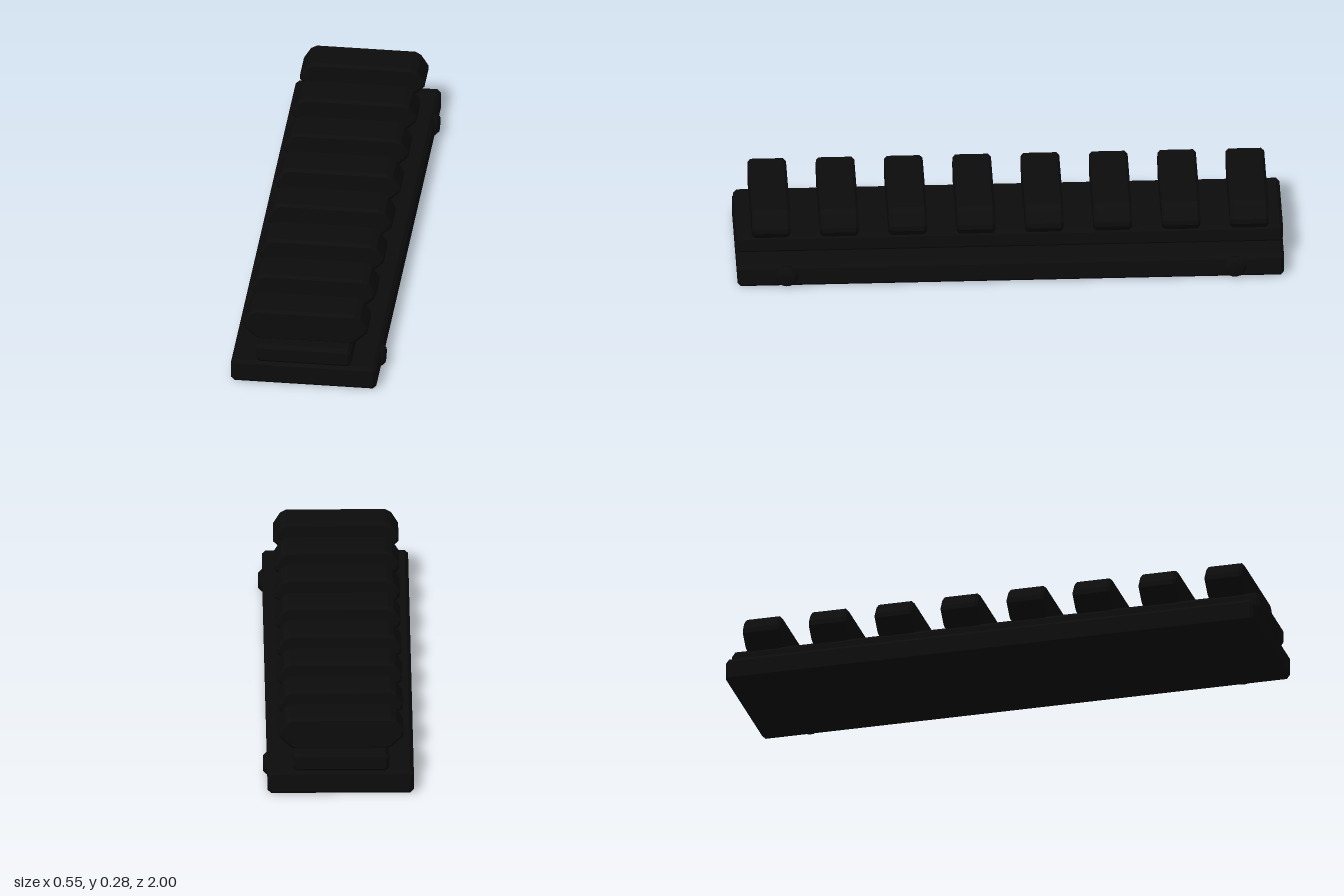
import * as THREE from 'three';

// Extrude an outline along z, chamfering both ends, centred on z = 0.
function chamferedBar(points, length, chamfer) {
  const shape = new THREE.Shape(points.map(([x, y]) => new THREE.Vector2(x, y)));
  const geometry = new THREE.ExtrudeGeometry(shape, {
    depth: length - 2 * chamfer,
    bevelEnabled: true,
    bevelThickness: chamfer,
    bevelSize: chamfer,
    bevelOffset: -chamfer,
    bevelSegments: 1,
  });
  geometry.translate(0, 0, chamfer - length / 2);
  return geometry;
}

// Rectangle with cut corners.
function cutRectangle(x0, x1, y0, y1, c) {
  return [
    [x0 + c, y0], [x1 - c, y0], [x1, y0 + c], [x1, y1 - c],
    [x1 - c, y1], [x0 + c, y1], [x0, y1 - c], [x0, y0 + c],
  ];
}

export function createModel() {
  const group = new THREE.Group();
  const black = new THREE.MeshStandardMaterial({ color: 0x0c0c0c });
  black.name = 'matte black';

  const add = (name, geometry, x = 0, y = 0, z = 0) => {
    const mesh = new THREE.Mesh(geometry, black);
    mesh.name = name;
    mesh.position.set(x, y, z);
    group.add(mesh);
    return mesh;
  };

  // Flat base plate and the narrower riser on it
  add('basePlate', chamferedBar(cutRectangle(-0.275, 0.26, 0, 0.09, 0.013), 2, 0.012));
  add('riser', chamferedBar(cutRectangle(-0.185, 0.167, 0.088, 0.16, 0.013), 2, 0.012));

  // Eight cross teeth with a mirrored, undercut outline
  const half = [
    [0.172, 0.154], [0.187, 0.162], [0.229, 0.203],
    [0.229, 0.222], [0.203, 0.265], [0.181, 0.277],
  ];
  const outline = [...half, ...half.map(([x, y]) => [-x, y]).reverse()];
  const tooth = chamferedBar(outline, 0.14, 0.01);
  for (let i = 0; i < 8; i++) add('railTooth', tooth, -0.009, 0, 0.875 - i * 0.25);

  // Two chamfered screw heads on the left side
  const profile = [[0, 0], [0.041, 0], [0.041, 0.012], [0.028, 0.025], [0, 0.025]];
  const head = new THREE.LatheGeometry(profile.map(([r, y]) => new THREE.Vector2(r, y)), 24);
  head.rotateZ(-Math.PI / 2);
  for (const z of [-0.82, 0.82]) add('screwHead', head, 0.25, 0.045, z);

  return group;
}
